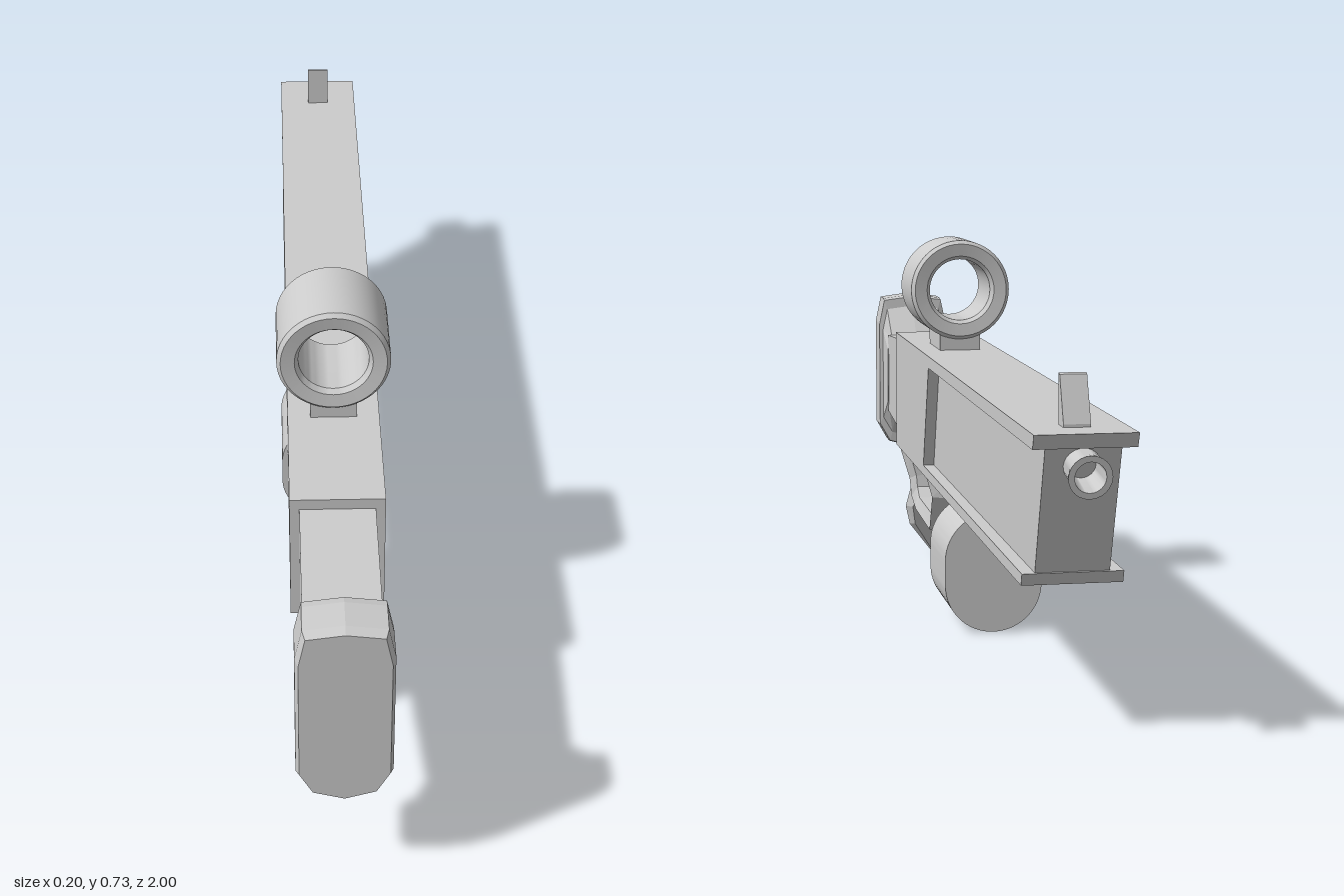
import * as THREE from 'three';
import { toCreasedNormals } from 'three/addons/utils/BufferGeometryUtils.js';

const flat = new THREE.MeshStandardMaterial({ color: 0xcccccc, flatShading: true });
const smooth = new THREE.MeshStandardMaterial({ color: 0xcccccc });

export function createModel() {
  const model = new THREE.Group();

  function add(name, geometry, material = flat) {
    const mesh = new THREE.Mesh(geometry, material);
    mesh.name = name;
    model.add(mesh);
    return mesh;
  }

  // Side outline of [z, y] points, extruded evenly across x
  function slab(name, points, width) {
    const shape = new THREE.Shape(points.map(([z, y]) => new THREE.Vector2(-z, y)));
    const g = new THREE.ExtrudeGeometry(shape, { depth: width, bevelEnabled: false });
    return add(name, g.translate(0, 0, -width / 2).rotateY(Math.PI / 2));
  }

  function box(name, x, y0, y1, z0, z1) {
    const g = new THREE.BoxGeometry(2 * x, y1 - y0, z1 - z0);
    return add(name, g.translate(0, (y0 + y1) / 2, (z0 + z1) / 2));
  }

  // Skin over equal-sized cross-sections with capped ends, faced outwards
  function loft(name, rings) {
    const tris = [], n = rings[0].length, last = rings.length - 1;
    for (let r = 0; r < last; r++) {
      for (let i = 0; i < n; i++) {
        const j = (i + 1) % n, a = rings[r], b = rings[r + 1];
        tris.push([a[i], a[j], b[j]], [a[i], b[j], b[i]]);
      }
    }
    for (let i = 1; i < n - 1; i++) {
      tris.push([rings[0][0], rings[0][i + 1], rings[0][i]]);
      tris.push([rings[last][0], rings[last][i], rings[last][i + 1]]);
    }
    const v = (p) => new THREE.Vector3(...p);
    const origin = v(rings[0][0]);
    const volume = tris.reduce((s, t) => {
      const [a, b, c] = t.map((p) => v(p).sub(origin));
      return s + a.dot(b.cross(c));
    }, 0);
    if (volume < 0) tris.forEach((t) => t.reverse());
    const g = new THREE.BufferGeometry();
    g.setAttribute('position', new THREE.Float32BufferAttribute(tris.flat(2), 3));
    g.computeVertexNormals();
    return add(name, g);
  }

  // Receiver and recessed fore-end between two overhanging rails
  slab('receiver', [[0.6, 0.255], [0.19, 0.255], [0.1, 0.51], [0.6, 0.51]], 0.166);
  slab('foreEnd', [[0.22, 0.26], [-0.865, 0.26], [-0.95, 0.5], [0.14, 0.5]], 0.122);
  slab('topRail', [[0.12, 0.486], [-0.957, 0.486], [-0.967, 0.51], [0.12, 0.51]], 0.166);
  slab('bottomRail', [[0.2, 0.255], [-0.87, 0.255], [-0.877, 0.275], [0.2, 0.275]], 0.166);

  // Tapered stock
  const rect = (z, x, y0, y1) => [[x, y0, z], [x, y1, z], [-x, y1, z], [-x, y0, z]];
  loft('stock', [rect(0.59, 0.066, 0.27, 0.49), rect(0.87, 0.066, 0.295, 0.476)]);

  // Butt pad: chamfered ten-sided section flaring out from the stock
  const buttOutline = [[0, 0.567], [0.068, 0.558], [0.08, 0.5], [0.08, 0.255], [0.056, 0.212],
    [0, 0.196], [-0.056, 0.212], [-0.08, 0.255], [-0.08, 0.5], [-0.068, 0.558]];
  const buttRing = (z, sx, sy) =>
    buttOutline.map(([x, y]) => [x * sx, 0.384 + (y - 0.384) * sy, z]);
  loft('buttPad', [
    buttRing(0.855, 0.85, 0.5), buttRing(0.912, 0.9, 0.86), buttRing(0.914, 1, 0.98),
    buttRing(0.93, 1, 1), buttRing(0.985, 1, 1), buttRing(1, 0.93, 0.96),
  ]);

  // Trigger guard and grip spur: ridged sections from outer to inner [z, y]
  function ridged(name, sections) {
    loft(name, sections.map(([oz, oy, iz, iy, w]) => {
      const sz = oz + (iz - oz) * 0.35, sy = oy + (iy - oy) * 0.35;
      return [[0, oy, oz], [w, sy, sz], [w * 0.85, iy, iz], [-w * 0.85, iy, iz], [-w, sy, sz]];
    }));
  }
  ridged('triggerGuard', [
    [0.19, 0.27, 0.25, 0.27, 0.08], [0.188, 0.2, 0.225, 0.21, 0.062],
    [0.245, 0.11, 0.27, 0.153, 0.06], [0.46, 0.118, 0.46, 0.156, 0.06],
    [0.54, 0.135, 0.49, 0.175, 0.06], [0.56, 0.18, 0.495, 0.2, 0.062],
    [0.6, 0.262, 0.5, 0.262, 0.082],
  ]);
  ridged('gripSpur', [
    [0.562, 0.19, 0.52, 0.14, 0.056], [0.606, 0.112, 0.535, 0.122, 0.065],
    [0.604, 0.07, 0.558, 0.078, 0.055], [0.595, 0.004, 0.588, 0.01, 0.004],
  ]);
  slab('trigger', [[0.4, 0.18], [0.355, 0.262], [0.4, 0.262], [0.385, 0.22]], 0.03);

  // Ring sight: a thick open tube with rounded lips
  const profile = [[0.063, -0.07], [0.07, -0.08], [0.095, -0.083], [0.102, -0.075],
    [0.102, 0.075], [0.095, 0.083], [0.07, 0.08], [0.063, 0.07], [0.063, -0.07]];
  const ring = new THREE.LatheGeometry(profile.map((p) => new THREE.Vector2(...p)), 48);
  ring.rotateX(Math.PI / 2).translate(0, 0.635, 0.288);
  add('ringSight', toCreasedNormals(ring, 0.6), smooth);
  box('sightMount', 0.042, 0.505, 0.55, 0.215, 0.36);

  // Front sight post, upright in front and sloping behind
  loft('frontSight', [rect(-0.898, 0.022, 0.505, 0.515), rect(-0.868, 0.022, 0.505, 0.59),
    rect(-0.86, 0.022, 0.505, 0.592)]);

  // Drum magazine with a rounded-slot section
  const drum = new THREE.Shape();
  drum.absarc(0, 0.147, 0.094, 0, Math.PI, false);
  drum.absarc(0, 0.1, 0.094, Math.PI, Math.PI * 2, false);
  const drumGeometry = new THREE.ExtrudeGeometry(drum,
    { depth: 0.19, bevelEnabled: false, curveSegments: 24 });
  add('drumMagazine', toCreasedNormals(drumGeometry.translate(0, 0, -0.175), 0.6), smooth);
  box('magazineMount', 0.05, 0.225, 0.26, -0.15, 0);

  // Short open muzzle, leaning down with the sloped end face
  const muzzleProfile = [[0.021, 0], [0.03, 0], [0.03, 0.05], [0.035, 0.075],
    [0.025, 0.075], [0.021, 0]];
  const muzzle = add('muzzle', toCreasedNormals(new THREE.LatheGeometry(
    muzzleProfile.map((p) => new THREE.Vector2(...p)), 24), 0.6), smooth);
  muzzle.position.set(0, 0.458, -0.92);
  muzzle.rotation.x = -Math.PI / 2 - 0.15;

  return model;
}
